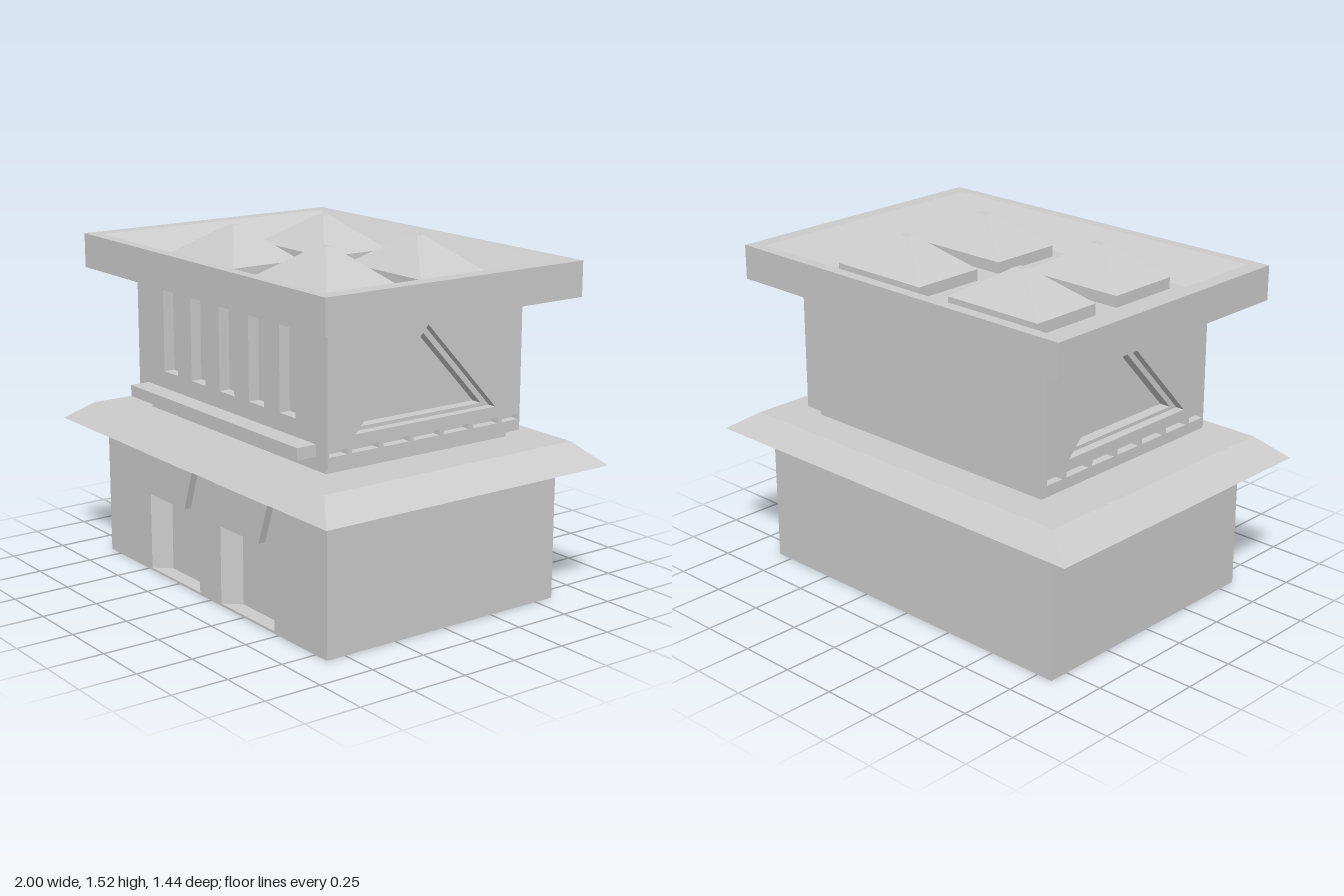
import * as THREE from 'three';

const mat = new THREE.MeshStandardMaterial({ color: 0xcccccc, flatShading: true });

function add(parent, name, geo, x = 0, y = 0, z = 0) {
  const m = new THREE.Mesh(geo, mat);
  m.name = name;
  m.position.set(x, y, z);
  parent.add(m);
  return m;
}

// box given by its limits
function block(parent, name, x0, x1, y0, y1, z0, z1) {
  return add(parent, name, new THREE.BoxGeometry(x1 - x0, y1 - y0, z1 - z0),
    (x0 + x1) / 2, (y0 + y1) / 2, (z0 + z1) / 2);
}

// closed solid through rectangular sections [y, halfX, halfZ]
function rectLoft(sections) {
  const rings = sections.map(([y, a, b]) => [[a, y, b], [a, y, -b], [-a, y, -b], [-a, y, b]]);
  const pos = [];
  const quad = (a, b, c, d) => pos.push(...a, ...b, ...c, ...a, ...c, ...d);
  for (let r = 0; r < rings.length - 1; r++) {
    for (let i = 0; i < 4; i++) {
      const j = (i + 1) % 4;
      quad(rings[r][i], rings[r][j], rings[r + 1][j], rings[r + 1][i]);
    }
  }
  const first = rings[0], last = rings[rings.length - 1];
  quad(first[3], first[2], first[1], first[0]);
  quad(last[0], last[1], last[2], last[3]);
  const g = new THREE.BufferGeometry();
  g.setAttribute('position', new THREE.Float32BufferAttribute(pos, 3));
  g.computeVertexNormals();
  return g;
}

const poly = (pts) => pts.map(([x, y]) => new THREE.Vector2(x, y));
const rect = (x0, x1, y0, y1) => poly([[x0, y0], [x1, y0], [x1, y1], [x0, y1]]);

// flat panel with cut-outs, extruded along +z
function panel(outline, holes, depth) {
  const s = new THREE.Shape(outline);
  holes.forEach((h) => s.holes.push(new THREE.Path(h)));
  return new THREE.ExtrudeGeometry(s, { depth, bevelEnabled: false });
}

export function createModel() {
  const root = new THREE.Group();
  root.name = 'building';

  // Ground storey with two splayed doorways
  const ground = new THREE.Group();
  ground.name = 'groundStorey';
  root.add(ground);
  block(ground, 'groundCore', -0.825, 0.825, 0, 0.58, -0.59, 0.52);
  const doors = [-0.277, 0.277];
  add(ground, 'groundFrontWall', panel(rect(-0.825, 0.825, 0, 0.58),
    doors.map((c) => rect(c - 0.195, c + 0.195, 0.01, 0.35)), 0.07), 0, 0, 0.52);
  for (const c of doors) {
    for (const s of [-1, 1]) {
      // plan triangle (x, -z) stood upright
      const pts = poly([[s * 0.195, -0.07], [s * 0.195, 0], [s * 0.132, 0]]);
      add(ground, 'doorJamb', panel(pts, [], 0.34), c, 0.01, 0.52).rotation.x = -Math.PI / 2;
    }
    add(ground, 'doorCanopy', panel(
      poly([[-0.132, 0.37], [0.132, 0.37], [0.195, 0.545], [-0.195, 0.545]]), [], 0.05), c, 0, 0.572);
  }

  // Sloped skirt roof and neck
  add(root, 'skirtRoof', rectLoft([[0.565, 0.875, 0.605], [0.602, 1, 0.72], [0.69, 0.865, 0.632]]));
  block(root, 'neck', -0.65, 0.65, 0.68, 0.735, -0.465, 0.465);

  // Upper storey: core, slotted front wall, ledge
  const upper = new THREE.Group();
  upper.name = 'upperStorey';
  root.add(upper);
  block(upper, 'upperCore', -0.61, 0.61, 0.725, 1.29, -0.495, 0.445);
  const slots = [-2, -1, 0, 1, 2].map((i) =>
    rect(i * 0.217 - 0.055, i * 0.217 + 0.055, 0.885, 1.25));
  add(upper, 'slottedFrontWall', panel(rect(-0.61, 0.61, 0.725, 1.29), slots, 0.05), 0, 0, 0.445);
  block(upper, 'frontLedge', -0.625, 0.625, 0.76, 0.81, 0.48, 0.585);

  // Side walls: stepped triangular recess above a row of short slits
  const wall = rect(-0.495, 0.495, 0.725, 1.29);
  const outerTri = poly([[-0.36, 0.845], [0.36, 0.845], [0, 1.235]]);
  const innerTri = poly([[-0.315, 0.86], [0.315, 0.86], [0, 1.2]]);
  const slits = [];
  for (let i = -3; i <= 3; i++) {
    const c = i * 0.155;
    slits.push(rect(Math.max(c - 0.066, -0.488), Math.min(c + 0.066, 0.488), 0.772, 0.796));
  }
  for (const s of [-1, 1]) {
    const side = new THREE.Group();
    side.name = s > 0 ? 'leftSideWall' : 'rightSideWall';
    side.rotation.y = s * Math.PI / 2;
    upper.add(side);
    add(side, 'outerLayer', panel(wall, [outerTri, ...slits], 0.04), 0, 0, 0.66);
    add(side, 'innerLayer', panel(wall, [innerTri], 0.05), 0, 0, 0.61);
  }

  // Roof slab with a sunken tray
  add(root, 'roofSlab', rectLoft([[1.285, 0.79, 0.59], [1.3, 0.89, 0.645], [1.45, 0.89, 0.645],
    [1.45, 0.82, 0.595], [1.335, 0.655, 0.47]]));

  // Four hipped skylights
  const skylight = rectLoft([[1.32, 0.243, 0.17], [1.385, 0.243, 0.17], [1.52, 0.025, 0.017]]);
  for (const x of [-0.326, 0.326]) {
    for (const z of [-0.235, 0.232]) add(root, 'skylight', skylight, x, 0, z);
  }
  return root;
}
